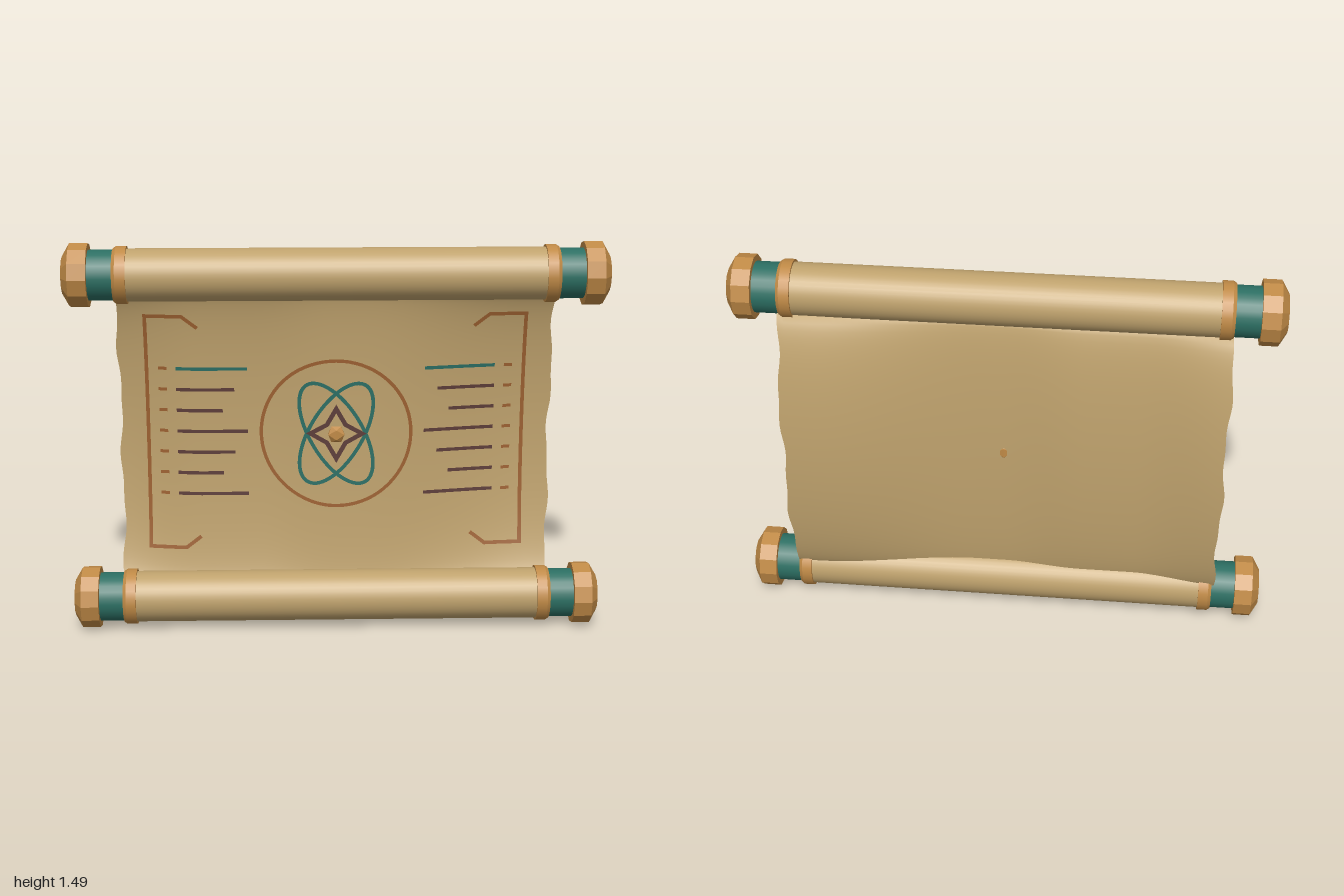
import * as THREE from 'three';

const mat = (name, color, side = THREE.FrontSide) => {
  const m = new THREE.MeshStandardMaterial({ color, side });
  m.name = name;
  return m;
};
const { smoothstep } = THREE.MathUtils;
const MID = 0.745, ROLL_Z = 0.02;

// Depth of the curved sheet: bowed between the rolls, swept back at both sides
function sheetZ(x, y) {
  const t = THREE.MathUtils.clamp((y - 0.12) / 1.2, 0, 1);
  const bow = Math.pow(Math.max(0, Math.sin(Math.PI * t)), 0.35);
  const sweep = x > 0
    ? 0.05 + 0.088 * smoothstep(x, 0.1, 0.75)
    : 0.05 + 0.03 * smoothstep(-x, 0, 0.3) + 0.055 * smoothstep(-x, 0.5, 0.85);
  return ROLL_Z * (1 - bow) - bow * sweep;
}

// Flat inked line of constant width that follows the sheet
function inkLine(corners, width, closed = false) {
  const pts = [];
  const n = corners.length;
  for (let i = 0; i < (closed ? n : n - 1); i++) {
    const a = corners[i], b = corners[(i + 1) % n];
    const steps = Math.max(1, Math.ceil(a.distanceTo(b) / 0.03));
    for (let s = 0; s < steps; s++) pts.push(a.clone().lerp(b, s / steps));
  }
  if (!closed) pts.push(corners[n - 1].clone());
  const count = pts.length, pos = [], index = [];
  pts.forEach((p, i) => {
    const prev = closed ? pts[(i + count - 1) % count] : pts[Math.max(0, i - 1)];
    const next = closed ? pts[(i + 1) % count] : pts[Math.min(count - 1, i + 1)];
    const dIn = p.clone().sub(prev).normalize(), dOut = next.clone().sub(p).normalize();
    const dir = dIn.clone().add(dOut).normalize();
    const ref = dOut.lengthSq() > 0 ? dOut : dIn;
    const w = width / 2 / Math.max(0.45, dir.dot(ref)); // mitre
    for (const s of [1, -1]) {
      const x = p.x - dir.y * w * s, y = p.y + dir.x * w * s;
      pos.push(x, y, sheetZ(x, y) + 0.005);
    }
    if (closed || i < count - 1) {
      const a = i * 2, b = ((i + 1) % count) * 2;
      index.push(a, a + 1, b, b, a + 1, b + 1);
    }
  });
  const g = new THREE.BufferGeometry();
  g.setAttribute('position', new THREE.Float32BufferAttribute(pos, 3));
  g.setIndex(index);
  g.computeVertexNormals();
  return g;
}

// Solid of revolution along x from [radius, x] pairs, one hard band per segment
function turned(profile, sides, faceted = false) {
  const pts = [];
  profile.forEach(([r, x], i) => {
    pts.push(new THREE.Vector2(r, x));
    if (i > 0 && i < profile.length - 1) pts.push(new THREE.Vector2(r, x));
  });
  let g = new THREE.LatheGeometry(pts, sides).rotateZ(-Math.PI / 2);
  if (faceted) {
    g = g.toNonIndexed();
    g.computeVertexNormals();
  }
  return g;
}

export function createModel() {
  const paper = mat('parchment', 0xbfa26d, THREE.DoubleSide);
  const gold = mat('gold', 0xc08a46);
  const teal = mat('teal', 0x2c6f63);
  const tealInk = mat('tealInk', 0x2a6e64, THREE.DoubleSide);
  const darkInk = mat('darkInk', 0x5c3c38, THREE.DoubleSide);
  const copperInk = mat('copperInk', 0x9c6030, THREE.DoubleSide);

  const model = new THREE.Group();
  model.name = 'scroll';
  const add = (name, geo, material, parent = model) => {
    const m = new THREE.Mesh(geo, material);
    m.name = name;
    parent.add(m);
    return m;
  };
  const V = (x, y) => new THREE.Vector2(x, y);

  // Curved sheet with slightly ragged sides
  const sheet = new THREE.PlaneGeometry(2, 1.2, 64, 48);
  const p = sheet.attributes.position;
  for (let i = 0; i < p.count; i++) {
    const y = p.getY(i) + 0.72, u = p.getX(i);
    const x = u * (0.82 + 0.006 * Math.sin(y * 14 + u) + 0.003 * Math.sin(y * 31));
    p.setXYZ(i, x, y, sheetZ(x, y));
  }
  sheet.computeVertexNormals();
  add('sheet', sheet, paper);

  // Upper and lower rolls with collars, bands and end knobs
  const rollGeo = turned([[0, -0.81], [0.097, -0.81], [0.097, 0.81], [0, 0.81]], 40);
  const collarGeo = turned([[0.09, 0.765], [0.106, 0.765], [0.106, 0.803], [0.098, 0.815], [0, 0.815]], 24);
  const bandGeo = turned([[0.093, 0.8], [0.093, 0.91]], 24);
  const knobGeo = turned([[0, 0.905], [0.118, 0.905], [0.118, 0.972], [0.07, 1], [0, 1]], 12, true);
  for (const [name, y] of [['lowerRoll', 0.12], ['upperRoll', 1.37]]) {
    const roller = new THREE.Group();
    roller.name = name;
    roller.position.set(0, y, ROLL_Z);
    model.add(roller);
    add('rolledPaper', rollGeo, paper, roller);
    for (const side of ['left', 'right']) {
      const end = new THREE.Group();
      end.name = side + 'End';
      end.rotation.y = side === 'left' ? 0 : Math.PI;
      roller.add(end);
      add('collar', collarGeo, gold, end);
      add('band', bandGeo, teal, end);
      add('knob', knobGeo, gold, end);
    }
  }

  // Corner brackets and rows of writing, mirrored on both sides
  const rows = [0.335, 0.385, 0.43, 0.335, 0.385, 0.43, 0.335];
  for (const s of [1, -1]) {
    const bracket = [[0.52, 1.155], [0.578, 1.2], [0.716, 1.2], [0.716, 0.29], [0.578, 0.29], [0.52, 0.335]];
    add('borderBracket', inkLine(bracket.map(([x, y]) => V(s * x, y)), 0.014), copperInk);
    rows.forEach((inner, i) => {
      const y = 0.995 - i * 0.082;
      add('writingLine', inkLine([V(s * inner, y), V(s * 0.605, y)], 0.013), i === 0 ? tealInk : darkInk);
      add('rowMark', inkLine([V(s * 0.64, y), V(s * 0.672, y)], 0.012), copperInk);
    });
  }

  // Central emblem: ring, crossed ellipses, four-pointed star and gem
  const oval = (a, b, tilt) => new THREE.EllipseCurve(0, MID, a, b, 0, Math.PI * 2, false, 0)
    .getPoints(72).slice(0, -1).map(q => q.rotateAround(V(0, MID), tilt));
  add('emblemRing', inkLine(oval(0.285, 0.285, 0), 0.013, true), copperInk);
  for (const s of [1, -1]) {
    add('emblemEllipse', inkLine(oval(0.1, 0.22, s * Math.PI / 6), 0.014, true), tealInk);
  }
  const star = [];
  for (let i = 0; i < 8; i++) {
    const r = i % 2 ? 0.05 : 0.098, a = i * Math.PI / 4;
    star.push(V(r * Math.cos(a), MID + r * Math.sin(a)));
  }
  add('emblemStar', inkLine(star, 0.017, true).translate(0, 0, 0.002), darkInk);
  const gem = add('gem', new THREE.IcosahedronGeometry(0.036, 0), gold);
  gem.scale.z = 0.55;
  gem.position.set(0, MID, -0.036);

  return model;
}
